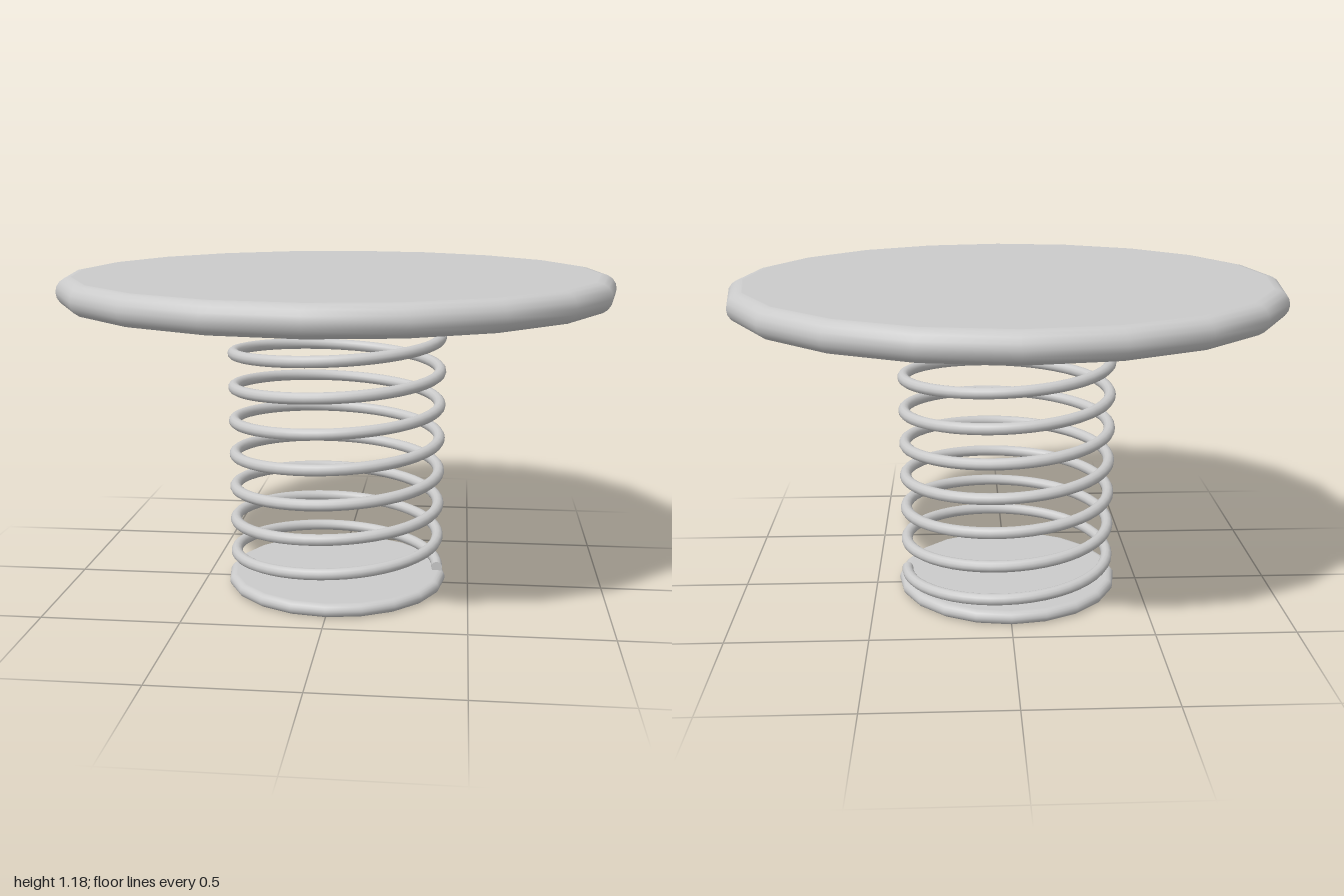
import * as THREE from 'three';

const material = new THREE.MeshStandardMaterial({ color: 0xcccccc });

// Twenty-sided disc with a rounded rim
function roundedDisc(name, radius, bottom, top) {
  const r = (top - bottom) / 2;
  const mid = (top + bottom) / 2;
  const inner = radius - r;
  const steps = 8;
  const profile = [new THREE.Vector2(0, bottom), new THREE.Vector2(inner - 0.004, bottom)];
  for (let i = 0; i <= steps; i++) {
    const a = -Math.PI / 2 + (Math.PI * i) / steps;
    profile.push(new THREE.Vector2(inner + r * Math.cos(a), mid + r * Math.sin(a)));
  }
  profile.push(new THREE.Vector2(inner - 0.004, top), new THREE.Vector2(0, top));
  const mesh = new THREE.Mesh(new THREE.LatheGeometry(profile, 20), material);
  mesh.name = name;
  return mesh;
}

// Helix that starts at +x and turns towards -z as it rises
class Helix extends THREE.Curve {
  constructor(radius, bottom, top, turns) {
    super();
    Object.assign(this, { radius, bottom, top, turns });
  }
  getPoint(t, target = new THREE.Vector3()) {
    const a = t * this.turns * Math.PI * 2;
    return target.set(
      this.radius * Math.cos(a),
      THREE.MathUtils.lerp(this.bottom, this.top, t),
      -this.radius * Math.sin(a)
    );
  }
}

export function createModel() {
  const group = new THREE.Group();
  group.name = 'springTable';

  group.add(roundedDisc('tableTop', 1, 1.075, 1.18));
  group.add(roundedDisc('base', 0.413, 0, 0.048));

  // Coil spring with closed wire ends
  const spring = new THREE.Group();
  spring.name = 'spring';
  const helix = new Helix(0.382, 0.061, 1.071, 8);
  helix.arcLengthDivisions = 1000;
  const wireRadius = 0.021;
  const coil = new THREE.Mesh(new THREE.TubeGeometry(helix, 400, wireRadius, 12), material);
  coil.name = 'coil';
  spring.add(coil);
  for (const [t, dir] of [[0, -1], [1, 1]]) {
    const cap = new THREE.Mesh(new THREE.CircleGeometry(wireRadius, 12), material);
    cap.name = t ? 'upperWireEnd' : 'lowerWireEnd';
    cap.position.copy(helix.getPoint(t));
    cap.quaternion.setFromUnitVectors(
      new THREE.Vector3(0, 0, 1),
      helix.getTangent(t).multiplyScalar(dir)
    );
    spring.add(cap);
  }
  group.add(spring);

  return group;
}
